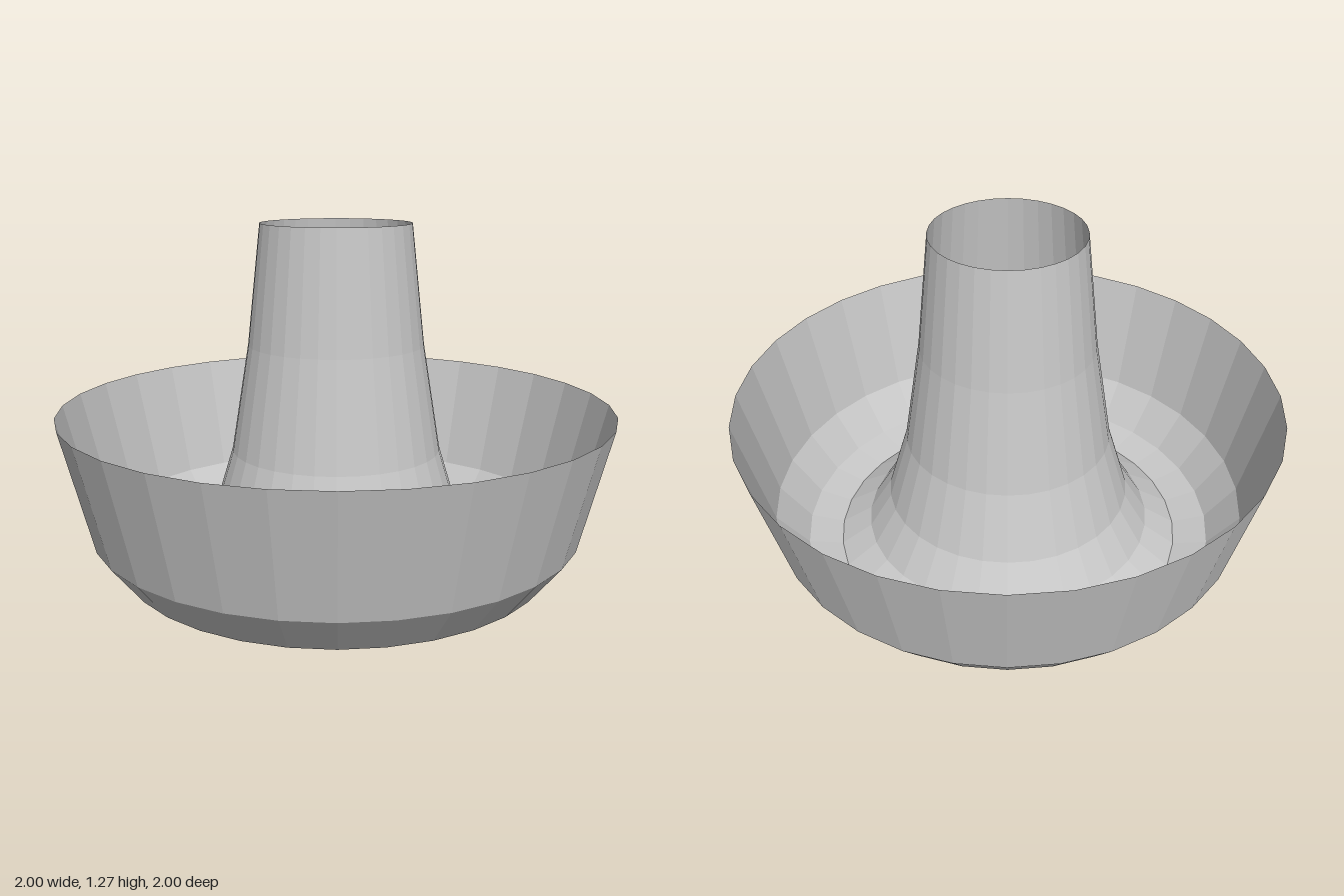
import * as THREE from 'three';

export function createModel() {
  const group = new THREE.Group();
  group.name = 'tubePan';

  const metal = new THREE.MeshStandardMaterial({ color: 0xc8c8c8, flatShading: true, side: THREE.DoubleSide });
  metal.name = 'grey metal';

  // Revolves a list of [radius, height] points into one open shell
  const addShell = (name, profile) => {
    const points = profile.map(([r, y]) => new THREE.Vector2(r, y));
    const mesh = new THREE.Mesh(new THREE.LatheGeometry(points, 32), metal);
    mesh.name = name;
    group.add(mesh);
  };

  // Flared outer wall, from the base up to the rim
  addShell('outerWall', [[0.78, 0.03], [0.89, 0.17], [1, 0.61]]);

  // Shallow sloping base ring
  addShell('baseRing', [[0.655, 0], [0.78, 0.03]]);

  // Hollow centre tube, open at both ends
  addShell('centreTube', [[0.27, 1.27], [0.317, 0.84], [0.38, 0.455], [0.455, 0.21], [0.54, 0.073], [0.655, 0]]);

  return group;
}
